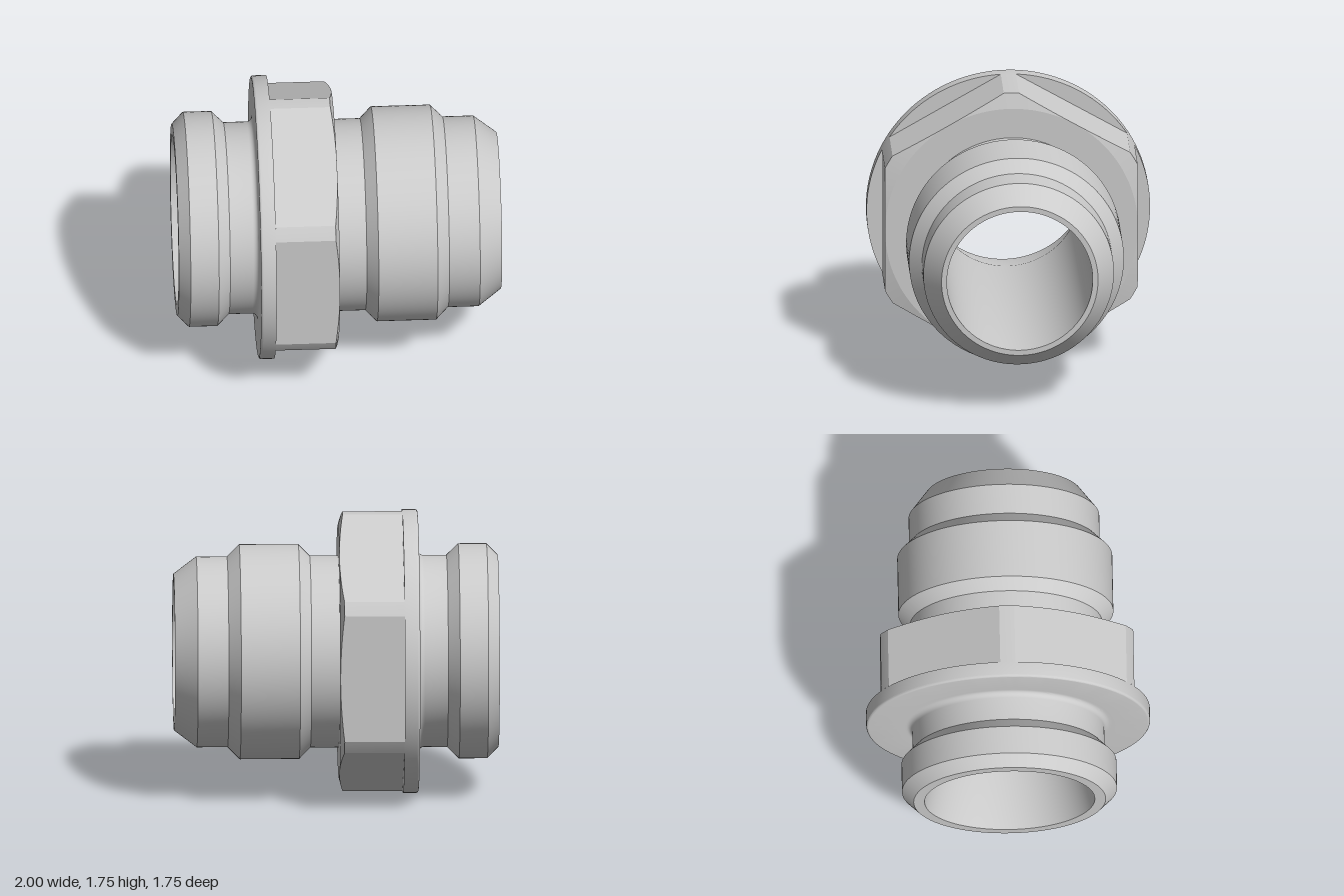
import * as THREE from 'three';
import { toCreasedNormals } from 'three/addons/utils/BufferGeometryUtils.js';

const AXIS_Y = 0.876;      // height of the fitting's axis
const FLANGE_R = 0.875;
const HEX_R = 0.78;        // centre to hex flat
const NECK_R = 0.592;
const RIDGE_R = 0.663;
const BORE_R = 0.45;

const material = new THREE.MeshStandardMaterial({ color: 0xcccccc });

function addPart(group, name, geometry, crease) {
  const mesh = new THREE.Mesh(toCreasedNormals(geometry, crease), material);
  mesh.name = name;
  mesh.position.y = AXIS_Y;
  group.add(mesh);
}

// Turns a profile of [x, radius] pairs around the x axis
function turned(profile) {
  const points = profile.map(([x, r]) => new THREE.Vector2(r, x));
  return new THREE.LatheGeometry(points, 128).rotateZ(-Math.PI / 2);
}

// Quarter-round [x, radius] points about a centre
function arc(cx, cr, size, from, to, steps = 6) {
  return Array.from({ length: steps + 1 }, (_, i) => {
    const a = from + (to - from) * i / steps;
    return [cx + size * Math.cos(a), cr + size * Math.sin(a)];
  });
}

// Hexagon with corners rounded to the flange radius and a conical front chamfer
function hexGeometry() {
  const back = -0.41, front = -0.015, slope = 0.025 / (FLANGE_R - HEX_R);
  const corner = Math.acos(HEX_R / FLANGE_R);
  const angles = [];
  for (let side = 0; side < 6; side++) {
    const mid = side * Math.PI / 3;
    for (let i = 0; i < 16; i++) angles.push(mid - corner + 2 * corner * i / 16);
    for (let i = 0; i < 4; i++) angles.push(mid + corner + (Math.PI / 3 - 2 * corner) * i / 4);
  }
  const positions = [], index = [], n = angles.length;
  for (const a of angles) {
    const local = a - Math.round(a / (Math.PI / 3)) * Math.PI / 3;
    const r = Math.min(FLANGE_R, HEX_R / Math.cos(local));
    const rings = [[back, r], [front - (r - HEX_R) * slope, r], [front, HEX_R], [front, NECK_R]];
    for (const [x, q] of rings) positions.push(x, q * Math.sin(a), q * Math.cos(a));
  }
  for (let i = 0; i < n; i++) {
    for (let k = 0; k < 3; k++) {
      const a = i * 4 + k, b = ((i + 1) % n) * 4 + k;
      index.push(a, a + 1, b + 1, a, b + 1, b);
    }
  }
  const geometry = new THREE.BufferGeometry();
  geometry.setAttribute('position', new THREE.Float32BufferAttribute(positions, 3));
  geometry.setIndex(index);
  return geometry;
}

export function createModel() {
  const group = new THREE.Group();
  group.name = 'pipeFitting';

  // Outer surface: left collar, neck fillet, flange, right thread ridge, tapered nose
  addPart(group, 'turnedBody', turned([
    [-1, 0.525], [-1, NECK_R], [-0.93, RIDGE_R], [-0.755, RIDGE_R], [-0.683, NECK_R],
    ...arc(-0.54, NECK_R + 0.035, 0.035, -Math.PI / 2, 0),
    [-0.505, 0.64],
    ...arc(-0.49, FLANGE_R - 0.015, 0.015, Math.PI, Math.PI / 2),
    [-0.41, FLANGE_R], [-0.41, NECK_R],
    [0.16, NECK_R], [0.23, RIDGE_R], [0.595, RIDGE_R], [0.67, 0.588],
    [0.86, 0.588], [1, 0.483], [1, BORE_R],
  ]), 0.35);

  // Through bore, flared towards the left end
  addPart(group, 'bore', turned([[1, BORE_R], [-0.64, BORE_R], [-1, 0.525]]), 0.35);

  addPart(group, 'hexCollar', hexGeometry(), 0.2);

  return group;
}
